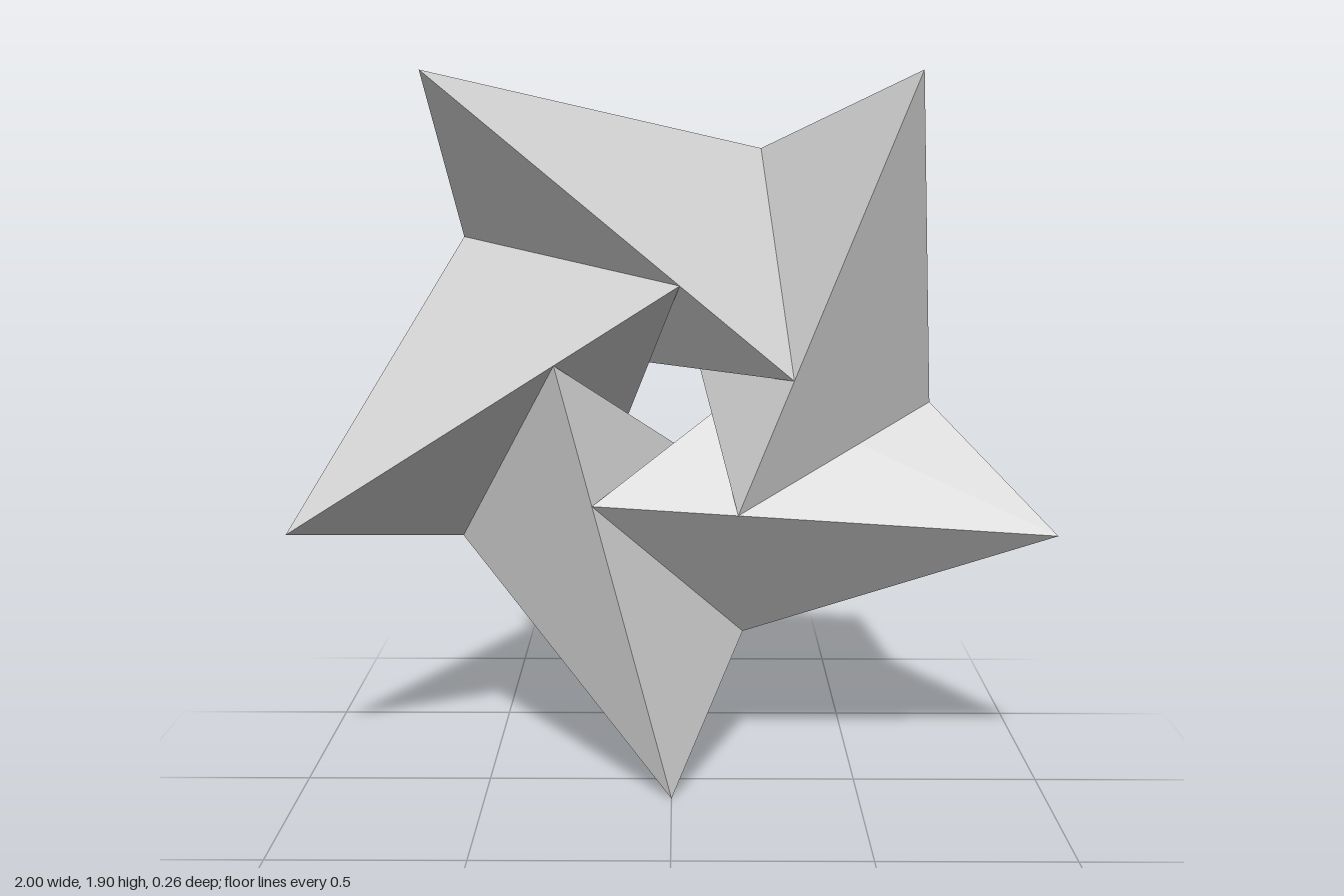
import * as THREE from 'three';

const CENTER_Y = 1.0515; // the lowest tip touches the ground
const HALF_DEPTH = 0.132;

// Point from polar coordinates (degrees) around the hub
function polar(radius, degrees, z) {
  const a = THREE.MathUtils.degToRad(degrees);
  return new THREE.Vector3(radius * Math.cos(a), radius * Math.sin(a), z);
}

// Flat panel: a fan of triangles over corners in counter-clockwise order
function panel(name, corners, material) {
  const points = [];
  for (let i = 1; i < corners.length - 1; i++) points.push(corners[0], corners[i], corners[i + 1]);
  const geometry = new THREE.BufferGeometry().setFromPoints(points);
  geometry.computeVertexNormals();
  const mesh = new THREE.Mesh(geometry, material);
  mesh.name = name;
  return mesh;
}

// One folded blade pointing along +x: two sloping panels meeting at a raised ridge
function createBlade(material) {
  const tip = polar(1.0515, 0, HALF_DEPTH);
  const ridgeEnd = polar(0.322, 248.35, HALF_DEPTH);
  const notch = polar(0.697, 16.4, -HALF_DEPTH);
  const previousNotch = polar(0.697, 16.4 - 72, -HALF_DEPTH);
  const hubCorner = polar(0.19, 21.9, -HALF_DEPTH);

  const blade = new THREE.Group();
  blade.add(
    panel('innerPanel', [tip, notch, hubCorner, ridgeEnd], material),
    panel('outerPanel', [tip, ridgeEnd, previousNotch], material)
  );
  return blade;
}

export function createModel() {
  const material = new THREE.MeshStandardMaterial({
    color: 0xcccccc,
    flatShading: true,
    side: THREE.DoubleSide
  });
  const model = new THREE.Group();
  model.name = 'foldedPinwheelStar';

  // Five interlocking blades around the open hub
  for (let i = 0; i < 5; i++) {
    const blade = createBlade(material);
    blade.name = `blade${i + 1}`;
    blade.position.y = CENTER_Y;
    blade.rotation.z = THREE.MathUtils.degToRad(-90 + 72 * i);
    model.add(blade);
  }
  return model;
}
